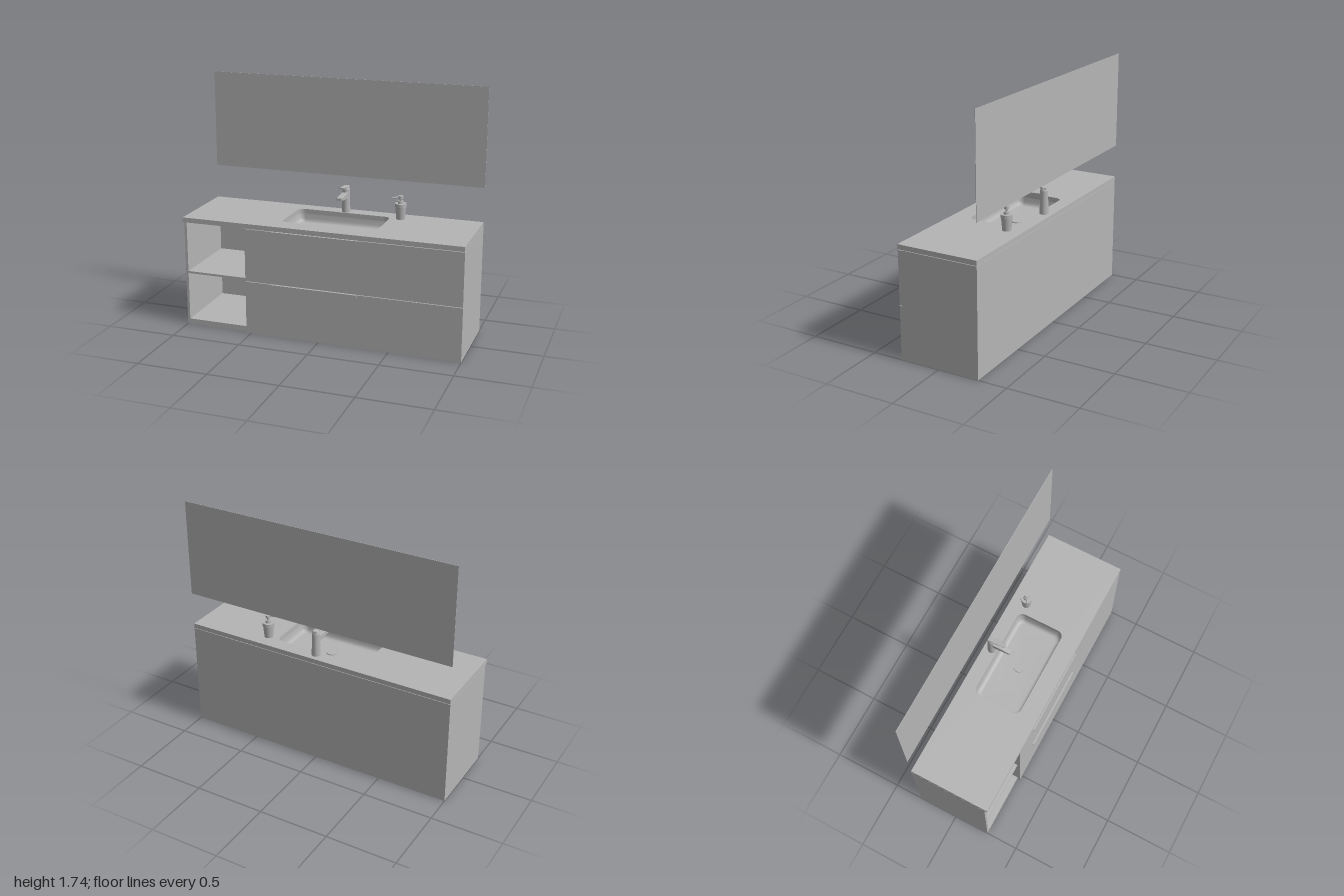
import * as THREE from 'three';

export function createModel() {
  const group = new THREE.Group();
  const grey = new THREE.MeshStandardMaterial({ color: 0xb4b4b4 });
  grey.name = 'grey';
  const greyOpen = grey;
  greyOpen.side = THREE.DoubleSide;

  const add = (name, geometry, parent = group) => {
    const mesh = new THREE.Mesh(geometry, grey);
    mesh.name = name;
    parent.add(mesh);
    return mesh;
  };
  // box given by its limits on each axis
  const box = (name, x0, x1, y0, y1, z0, z1) =>
    add(name, new THREE.BoxGeometry(x1 - x0, y1 - y0, z1 - z0)
      .translate((x0 + x1) / 2, (y0 + y1) / 2, (z0 + z1) / 2));
  // upright round part given by base, top and radii
  const round = (name, x, z, y0, y1, r0, r1, parent) =>
    add(name, new THREE.CylinderGeometry(r1, r0, y1 - y0, 32).translate(x, (y0 + y1) / 2, z), parent);

  // cabinet carcass with open shelves on one end
  const back = -0.295, face = 0.265, top = 0.763, split = -0.535;
  box('leftEndPanel', -1, -0.982, 0, top, back, face);
  box('rightEndPanel', 0.982, 1, 0, top, back, face);
  box('backPanel', -0.982, 0.982, 0, top, back, -0.28);
  box('bottomPanel', -0.982, 0.982, 0, 0.04, -0.28, face);
  box('shelf', -0.982, split, 0.385, 0.4, -0.28, face);
  box('divider', split, split + 0.016, 0.04, top, -0.28, face);

  // drawer fronts and their folded pull handles
  for (const [y0, y1] of [[0, 0.381], [0.385, 0.762]]) {
    box('drawerFront', split, 1, y0, y1, face, 0.285);
    box('handlePlate', -0.345, 0.28, y1 - 0.001, y1 + 0.002, 0.27, 0.297);
    box('handleLip', -0.345, 0.28, y1 - 0.014, y1 + 0.002, 0.294, 0.297);
  }

  // basin outline: rounded rectangle, shrunk by an inset
  const bx = 0.025, bz = -0.02;
  const outline = (inset) => {
    const points = [], r = 0.045 - inset * 0.3;
    const hw = 0.34 - inset - r, hd = 0.175 - inset - r;
    [[1, 1], [-1, 1], [-1, -1], [1, -1]].forEach(([sx, sz], q) => {
      for (let i = 0; i <= 8; i++) {
        const a = (q + i / 8) * Math.PI / 2;
        points.push(new THREE.Vector2(bx + sx * hw + r * Math.cos(a), bz + sz * hd + r * Math.sin(a)));
      }
    });
    return points;
  };

  // countertop with the basin cut out
  const slab = new THREE.Shape([[-1, back], [1, back], [1, 0.287], [-1, 0.287]]
    .map(([x, z]) => new THREE.Vector2(x, z)));
  slab.holes.push(new THREE.Path(outline(0)));
  add('countertop', new THREE.ExtrudeGeometry(slab, { depth: 0.034, bevelEnabled: false })
    .rotateX(Math.PI / 2).translate(0, 0.8, 0));

  // basin bowl lofted from shrinking outlines
  const levels = [[0, 0.766], [0.004, 0.735], [0.01, 0.718], [0.02, 0.709], [0.035, 0.706]];
  const pos = [], idx = [];
  levels.forEach(([inset, y]) => outline(inset).forEach((p) => pos.push(p.x, y, p.y)));
  const n = pos.length / 3 / levels.length;
  const centre = pos.length / 3;
  pos.push(bx, 0.705, bz);
  for (let i = 0; i < n; i++) {
    const k = (i + 1) % n;
    for (let j = 0; j < levels.length - 1; j++) {
      const a = j * n + i, b = j * n + k;
      idx.push(a, a + n, b, b, a + n, b + n);
    }
    const last = (levels.length - 1) * n;
    idx.push(last + i, centre, last + k);
  }
  const bowl = new THREE.BufferGeometry();
  bowl.setAttribute('position', new THREE.Float32BufferAttribute(pos, 3));
  bowl.setIndex(idx);
  bowl.computeVertexNormals();
  add('basin', bowl);
  round('drain', bx, bz, 0.7, 0.713, 0.04, 0.038);

  // faucet: body, spout reaching over the basin, and a tilted lever
  const faucet = new THREE.Group();
  faucet.name = 'faucet';
  group.add(faucet);
  const fz = -0.234;
  round('faucetBody', bx, fz, 0.8, 0.965, 0.03, 0.027, faucet);
  round('faucetHead', bx, fz, 0.965, 0.985, 0.027, 0.021, faucet);
  // side outline (z, y) swept across x
  const sideways = (name, width, points) => {
    const shape = new THREE.Shape(points.map(([z, y]) => new THREE.Vector2(-z, y)));
    const geometry = new THREE.ExtrudeGeometry(shape, {
      depth: width - 0.008, bevelSize: 0.003, bevelThickness: 0.004, bevelSegments: 2, bevelOffset: -0.003,
    });
    add(name, geometry.rotateY(Math.PI / 2).translate(bx - width / 2 + 0.004, 0, 0), faucet);
  };
  sideways('spout', 0.04, [[-0.08, 0.935], [-0.08, 0.917], [-0.12, 0.91], [-0.225, 0.895], [-0.225, 0.945], [-0.14, 0.942]]);
  sideways('lever', 0.036, [[-0.125, 1], [-0.125, 0.992], [-0.2, 0.98], [-0.258, 0.975], [-0.255, 0.988], [-0.2, 0.992]]);

  // soap dispenser: tapered cup, collar, pump and nozzle
  const soap = new THREE.Group();
  soap.name = 'soapDispenser';
  group.add(soap);
  const sx = 0.44, sz = -0.182;
  round('cup', sx, sz, 0.8, 0.888, 0.03, 0.038, soap);
  round('cupRim', sx, sz, 0.888, 0.912, 0.041, 0.041, soap);
  round('collar', sx, sz, 0.912, 0.93, 0.021, 0.019, soap);
  round('pumpStem', sx, sz, 0.93, 0.95, 0.008, 0.008, soap);
  round('pumpHead', sx, sz, 0.947, 0.966, 0.017, 0.017, soap);
  const nozzle = new THREE.LineCurve3(new THREE.Vector3(sx, 0.958, sz), new THREE.Vector3(0.39, 0.955, -0.148));
  add('nozzle', new THREE.TubeGeometry(nozzle, 1, 0.005, 12), soap);

  // wall mirror
  box('mirror', -1, 1, 1.042, 1.735, -0.297, -0.294);

  return group;
}
